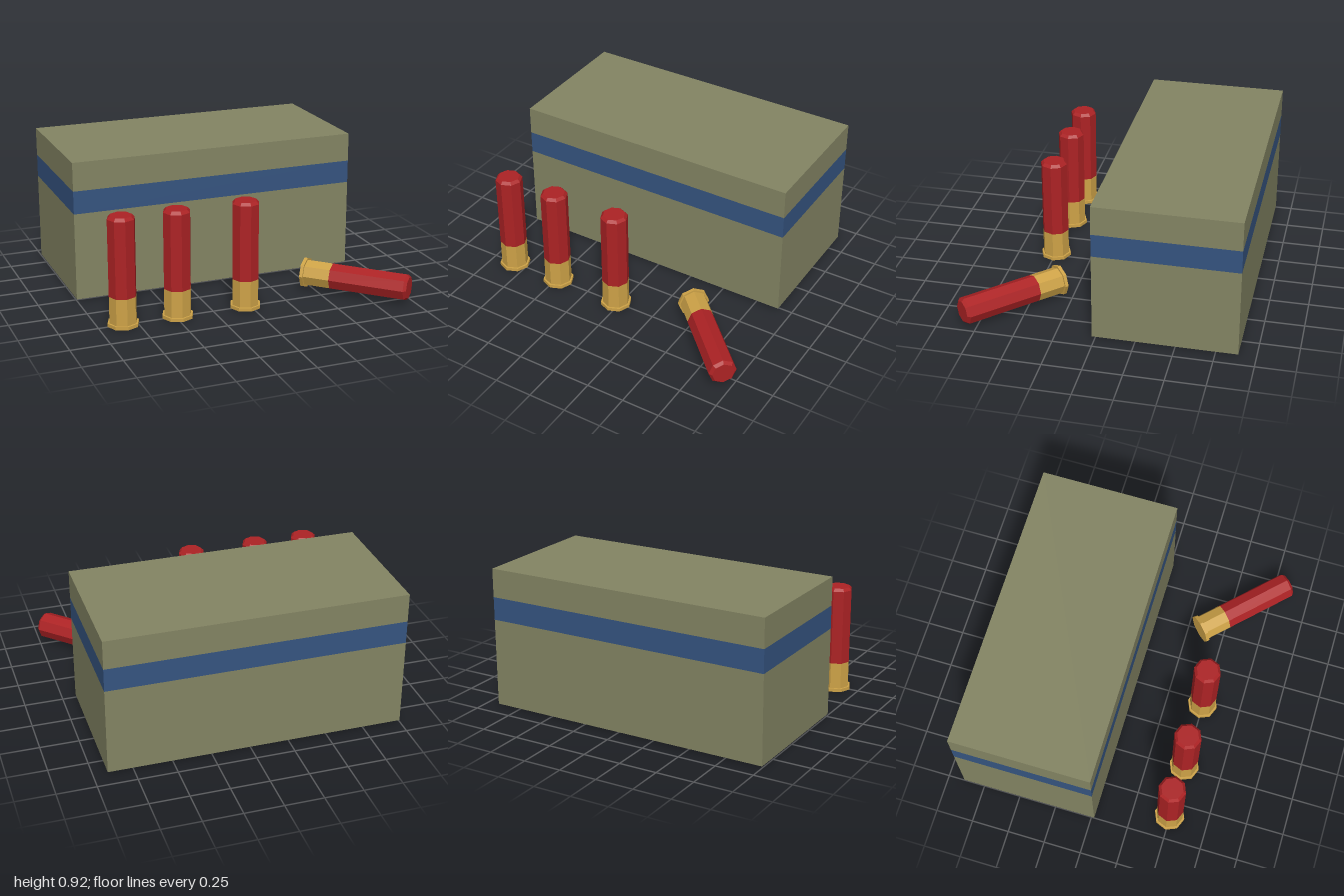
import * as THREE from 'three';

function flat(name, color) {
  const m = new THREE.MeshStandardMaterial({ color, flatShading: true });
  m.name = name;
  return m;
}

export function createModel() {
  const olive = flat('olive card', 0x838463);
  const blue = flat('blue band', 0x355480);
  const red = flat('red hull', 0xac2224);
  const brass = flat('brass', 0xcda247);
  const model = new THREE.Group();
  model.name = 'shellBoxSet';

  // Carton: stacked layers that share flush walls, keeping only outer caps
  const carton = new THREE.Group();
  carton.name = 'carton';
  function layer(name, y0, y1, material, top, bottom) {
    const geo = new THREE.BoxGeometry(1.91, y1 - y0, 0.91);
    const all = Array.from(geo.index.array);
    // faces are ordered +x, -x, +y, -y, +z, -z with six indices each
    geo.setIndex(all.filter((_, i) => {
      const face = Math.floor(i / 6);
      return (face !== 2 || top) && (face !== 3 || bottom);
    }));
    geo.clearGroups();
    const mesh = new THREE.Mesh(geo, material);
    mesh.name = name;
    mesh.position.set(-0.045, (y0 + y1) / 2, -0.435);
    carton.add(mesh);
  }
  layer('cartonBase', 0.01, 0.583, olive, false, true);
  layer('cartonBand', 0.583, 0.733, blue, false, false);
  layer('cartonTop', 0.733, 0.92, olive, true, false);
  model.add(carton);

  // Shell: eight-sided brass base with a rim, and a red hull with a bevelled tip
  const turned = (pts) =>
    new THREE.LatheGeometry(pts.map(([r, y]) => new THREE.Vector2(r, y)), 8);
  const baseGeo = turned([[0, 0], [0.101, 0], [0.101, 0.022], [0.088, 0.022], [0.088, 0.195]]);
  const hullGeo = turned([[0.088, 0.195], [0.088, 0.69], [0.071, 0.708], [0, 0.708]]);
  function shell(name, x, y, z) {
    const group = new THREE.Group();
    group.name = name;
    const base = new THREE.Mesh(baseGeo, brass);
    base.name = 'brassBase';
    const hull = new THREE.Mesh(hullGeo, red);
    hull.name = 'hull';
    group.add(base, hull);
    group.position.set(x, y, z);
    model.add(group);
    return group;
  }
  [-0.84, -0.485, -0.03].forEach((x, i) => shell('standingShell' + (i + 1), x, 0, 0.495));

  // Fallen shell, tip pointing to the front left
  shell('fallenShell', 0.455, 0.107, 0.335).rotation.set(0, -Math.PI / 4, -Math.PI / 2);

  return model;
}
